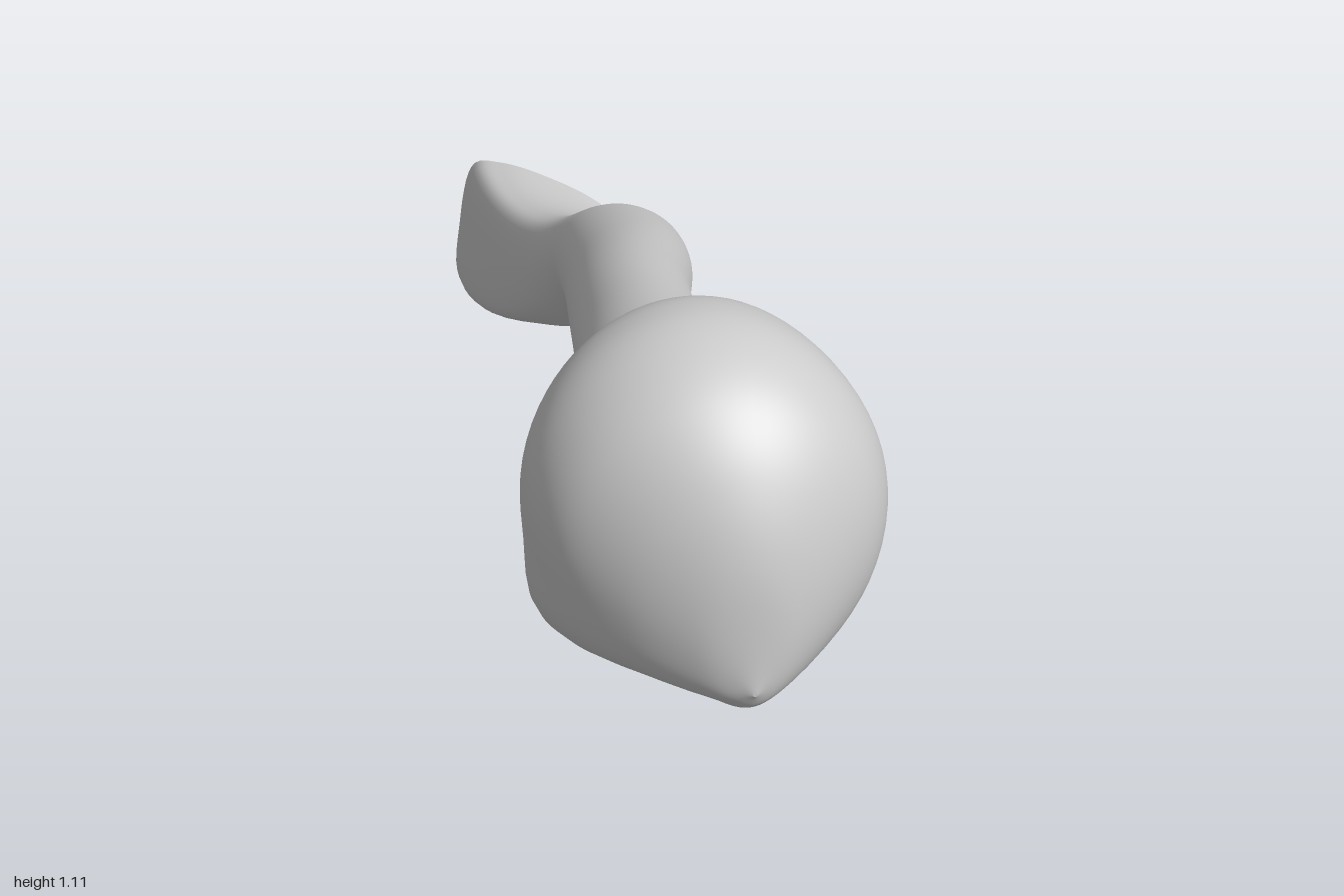
import * as THREE from 'three';

const SEG = 72;
const TAU = Math.PI * 2;

// Cross-sections from the ball end to the broken end:
// z, xMin, xMax, yMin, yMax, skew (how far the section leans in z along x)
const SECTIONS = [
  [1.0, -0.002, 0.002, 0.795, 0.8, 0],
  [0.985, -0.055, 0.045, 0.77, 0.93, 0],
  [0.95, -0.12, 0.095, 0.752, 1.015, 0],
  [0.9, -0.175, 0.138, 0.735, 1.07, 0],
  [0.84, -0.2, 0.155, 0.722, 1.097, 0],
  [0.78, -0.2, 0.145, 0.713, 1.1, 0],
  [0.72, -0.177, 0.122, 0.702, 1.075, 0],
  [0.67, -0.133, 0.1, 0.69, 1.005, 0],
  [0.63, -0.112, 0.088, 0.68, 0.93, 0],
  [0.55, -0.1, 0.083, 0.652, 0.86, 0],
  [0.4, -0.085, 0.088, 0.597, 0.787, 0],
  [0.2, -0.07, 0.103, 0.525, 0.703, 0],
  [0.0, -0.05, 0.11, 0.432, 0.625, 0],
  [-0.2, -0.033, 0.125, 0.36, 0.548, 0],
  [-0.4, -0.015, 0.157, 0.272, 0.46, 0.05],
  [-0.6, -0.005, 0.178, 0.17, 0.365, 0.25],
  [-0.75, -0.005, 0.195, 0.075, 0.277, 0.55],
  [-0.88, -0.02, 0.2, 0.0, 0.22, 0.77],
];

// Ragged outline of the broken end, counter-clockwise from +x
const END = [
  [0.2, 0.09], [0.16, 0.155], [0.09, 0.205], [0.02, 0.222], [-0.04, 0.222], [-0.08, 0.2],
  [-0.098, 0.1], [-0.1, 0.0], [-0.035, 0.022], [0, 0.065], [0.05, 0.0], [0.14, 0.02],
];

const curve = (points, closed = false) =>
  new THREE.CatmullRomCurve3(points.map((p) => new THREE.Vector3(...p)), closed, 'catmullrom', 0.5);
const bump = (v, centre, width) => Math.exp(-(((v - centre) / width) ** 2));

// Closed rings joined into one smooth surface
function skin(rings) {
  const index = [];
  for (let i = 0; i < rings.length - 1; i++) {
    for (let j = 0; j < SEG; j++) {
      const k = (j + 1) % SEG;
      const a = i * SEG + j, b = i * SEG + k, c = a + SEG, d = b + SEG;
      index.push(a, c, b, b, c, d);
    }
  }
  const geometry = new THREE.BufferGeometry().setFromPoints(rings.flat());
  geometry.setIndex(index);
  geometry.computeVertexNormals();
  return geometry;
}

export function createModel() {
  const group = new THREE.Group();
  group.name = 'upperArmBone';
  const material = new THREE.MeshStandardMaterial({ color: 0xcccccc, side: THREE.DoubleSide });

  const widths = curve(SECTIONS.map((s) => [s[0], s[1], s[2]]));
  const heights = curve(SECTIONS.map((s) => [s[3], s[4], s[5]]));
  const outline = curve(END.map(([x, y]) => [x, y, 0]), true);

  // Ball head, neck and shaft, flaring into the flat broken end
  const rings = [];
  const STEPS = 136;
  for (let i = 0; i <= STEPS; i++) {
    const u = i / STEPS;
    const w = widths.getPoint(u), h = heights.getPoint(u);
    const z = w.x;
    const flare = THREE.MathUtils.smoothstep(-z, 0.55, 0.88) ** 1.3;
    const onHead = bump(z, 0.83, 0.11);
    const ring = [];
    for (let j = 0; j < SEG; j++) {
      const t = (j / SEG) * TAU;
      // Small knob and the groove beside it, under the ball
      const scale = 1 + onHead * (0.13 * bump(t, 3.75, 0.26) - 0.24 * bump(t, 4.33, 0.24));
      const p = new THREE.Vector3(
        (w.y + w.z) / 2 + ((w.z - w.y) / 2) * Math.cos(t) * scale,
        (h.x + h.y) / 2 + ((h.y - h.x) / 2) * Math.sin(t) * scale, 0);
      p.lerp(outline.getPoint(j / SEG), flare);
      p.z = z + h.z * (p.x - 0.05);
      ring.push(p);
    }
    rings.push(ring);
  }
  const shaft = new THREE.Mesh(skin(rings), material);
  shaft.name = 'headAndShaft';
  group.add(shaft);

  // Hollowed broken face with a small deep pit
  const edge = rings[STEPS];
  const centre = new THREE.Vector3(0.05, 0.12, -0.88);
  const inward = new THREE.Vector3(-0.61, 0, 0.79);
  const face = [];
  for (let i = 0; i <= 24; i++) {
    const s = i / 24;
    face.push(edge.map((e) => {
      const p = e.clone().lerp(centre, s);
      const pit = bump(Math.hypot(p.x - 0.11, p.y - 0.1), 0, 0.02);
      return p.addScaledVector(inward, 0.05 * (1 - (1 - s) ** 2) + 0.05 * pit * Math.min(1, s * 4));
    }));
  }
  const brokenFace = new THREE.Mesh(skin(face), material);
  brokenFace.name = 'brokenEndHollow';
  group.add(brokenFace);

  return group;
}
